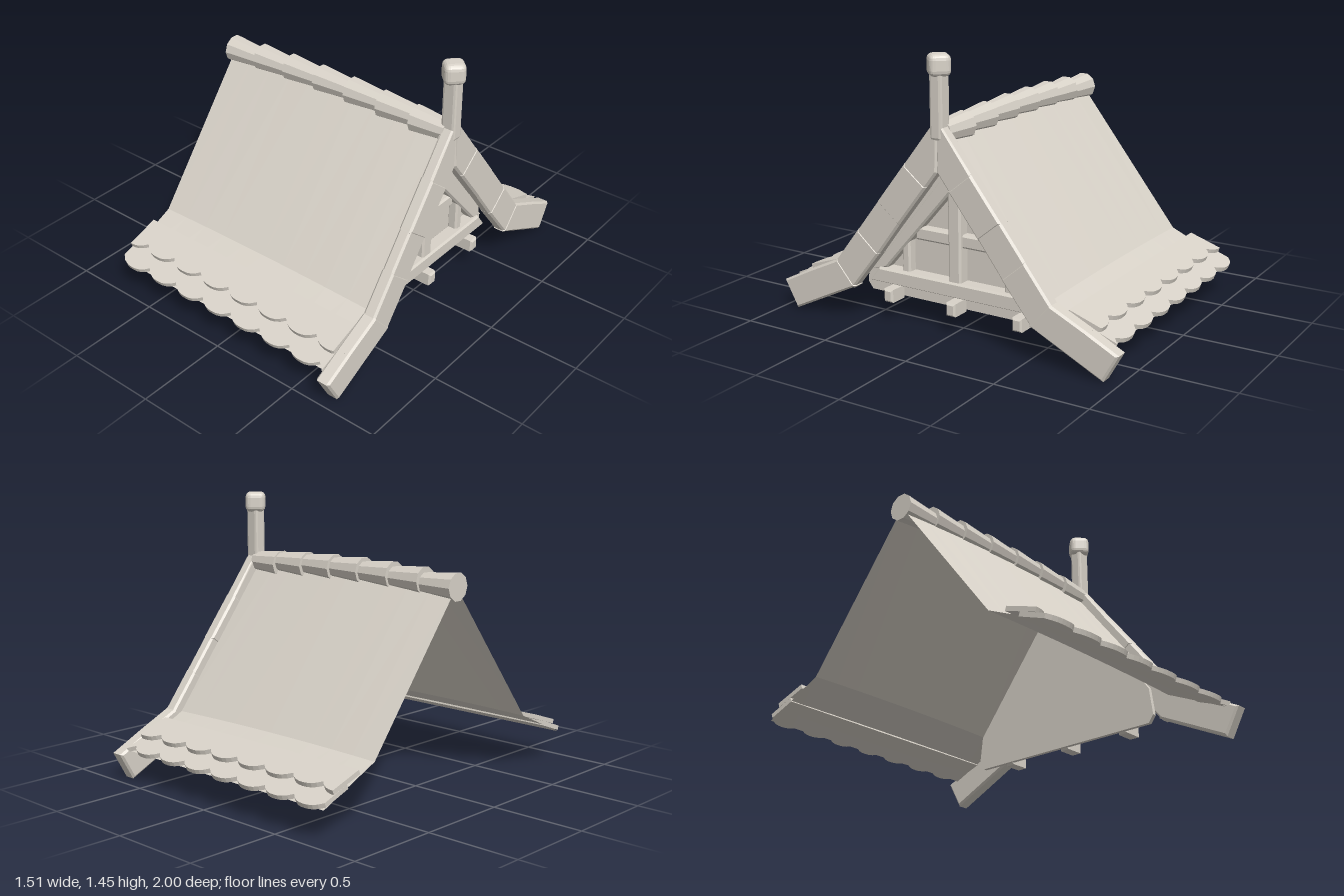
import * as THREE from 'three';
import { RoundedBoxGeometry } from 'three/addons/geometries/RoundedBoxGeometry.js';

const paleStone = new THREE.MeshStandardMaterial({ color: 0xd8d2c8, flatShading: true, side: THREE.DoubleSide });
paleStone.name = 'paleStone';

// Mirrored copy of a geometry across z = 0, keeping faces outward
function mirrorZ(geo) {
  const g = (geo.index ? geo.toNonIndexed() : geo.clone()).scale(1, 1, -1);
  const p = g.attributes.position;
  const a = new THREE.Vector3(), b = new THREE.Vector3();
  for (let i = 0; i < p.count; i += 3) {
    a.fromBufferAttribute(p, i + 1);
    b.fromBufferAttribute(p, i + 2);
    p.setXYZ(i + 1, b.x, b.y, b.z);
    p.setXYZ(i + 2, a.x, a.y, a.z);
  }
  g.computeVertexNormals();
  return g;
}

// Chamfered plate: outline in (z, y), running from x0 to x1
function plate(points, x0, x1, bevel = 0.01) {
  const shape = new THREE.Shape(points.map(([z, y]) => new THREE.Vector2(-z, y)));
  const g = new THREE.ExtrudeGeometry(shape, {
    depth: x1 - x0 - 2 * bevel, bevelEnabled: bevel > 0, bevelSize: bevel,
    bevelThickness: bevel, bevelOffset: -bevel, bevelSegments: 1,
  });
  return g.rotateY(Math.PI / 2).translate(x0 + bevel, 0, 0);
}

const rect = (z, w, y0, y1) => [[z - w / 2, y0], [z + w / 2, y0], [z + w / 2, y1], [z - w / 2, y1]];

// Row of scalloped tiles; top face runs from [z, y] start to [z, y] end
function tileRow(start, end, phase) {
  const dir = new THREE.Vector3(0, end[1] - start[1], end[0] - start[0]);
  const length = dir.length();
  dir.normalize();
  const step = 0.195 / 8, x0 = -0.7475, x1 = 0.655;
  const shape = new THREE.Shape();
  shape.moveTo(x0, 0);
  for (let i = 0; i <= 58; i++) {
    const t = ((i + phase) % 8) / 8;
    shape.lineTo(Math.min(x0 + i * step, x1), length - 0.042 * Math.pow(Math.abs(2 * t - 1), 2.5));
  }
  shape.lineTo(x1, 0);
  const g = new THREE.ExtrudeGeometry(shape, { depth: 0.024, bevelEnabled: false });
  const xAxis = new THREE.Vector3(1, 0, 0);
  const m = new THREE.Matrix4().makeBasis(xAxis, dir, xAxis.clone().cross(dir));
  return g.applyMatrix4(m.setPosition(0, start[1], start[0]));
}

// Thin roof sheet with flared eaves and a slightly raised middle
function roofSheet() {
  const half = [[0.93, 0.162, 0], [0.59, 0.315, 0.01], [0, 1.07, 0.025]];
  const profile = [...half, ...half.slice(0, 2).reverse().map(([z, y, r]) => [-z, y, r])];
  const g = new THREE.PlaneGeometry(1, 1, 10, profile.length - 1);
  const p = g.attributes.position;
  for (let i = 0; i < p.count; i++) {
    const u = (i % 11) / 10;
    const [z, y, rise] = profile[profile.length - 1 - Math.floor(i / 11)];
    p.setXYZ(i, -0.745 + 1.4 * u, y + rise * (1 - (2 * u - 1) ** 2), z);
  }
  g.computeVertexNormals();
  return g;
}

export function createModel() {
  const model = new THREE.Group();
  model.name = 'gabledRoof';
  const add = (name, geo) => {
    const mesh = new THREE.Mesh(geo, paleStone);
    mesh.name = name;
    model.add(mesh);
    return mesh;
  };
  const addPair = (name, geo) => {
    add(name + 'Front', geo);
    add(name + 'Back', mirrorZ(geo));
  };

  add('roofSheet', roofSheet());

  // Eave tiles, two overlapping rows on each side
  addPair('upperTileRow', tileRow([0.7, 0.302], [0.875, 0.243], 4));
  addPair('lowerTileRow', tileRow([0.78, 0.25], [0.965, 0.182], 0));

  // Tapered ridge caps, wide end towards -x
  for (let i = 0; i < 7; i++) {
    const x0 = -0.755 + i * 0.205, x1 = Math.min(x0 + 0.21, 0.67);
    const xm = (x0 + x1) / 2;
    const cap = add('ridgeCap', new THREE.CylinderGeometry(0.073, 0.055, x1 - x0, 10).rotateZ(Math.PI / 2));
    cap.position.set(xm, 1.07 + 0.022 * (1 - (xm / 0.65) ** 2), 0);
  }

  // Bargeboards: blocks between an outer and an inner edge
  const outer = [[0, 1.15], [0.2, 0.894], [0.36, 0.69], [0.5, 0.51], [0.64, 0.33], [0.83, 0.24], [1, 0.155]];
  const inner = [[0, 0.88], [0.07, 0.79], [0.23, 0.585], [0.37, 0.4], [0.53, 0.2], [0.745, 0.095], [0.92, 0.01]];
  const bevel = 0.011;
  // Lengthen a block slightly so its chamfered end sinks into its neighbour
  const extend = (from, to) => {
    const d = Math.hypot(to[0] - from[0], to[1] - from[1]);
    return to.map((v, k) => v + ((v - from[k]) / d) * bevel);
  };
  for (let i = 0; i < 6; i++) {
    const o1 = i < 5 ? extend(outer[i], outer[i + 1]) : outer[6];
    const n1 = i < 5 ? extend(inner[i], inner[i + 1]) : inner[6];
    const o0 = i > 0 ? extend(outer[i + 1], outer[i]) : outer[0];
    const n0 = i > 0 ? extend(inner[i + 1], inner[i]) : inner[0];
    const grow = i > 3 ? 0.006 : (i % 2) * 0.003;
    addPair('bargeboardBlock', plate([o0, o1, n1, n0], 0.656 - grow, 0.722 + grow, bevel));
  }

  // Finial post and knob at the gable peak
  add('finialPost', new RoundedBoxGeometry(0.08, 0.34, 0.07, 1, 0.014)).position.set(0.686, 1.21, 0);
  const knob = add('finialKnob', new RoundedBoxGeometry(0.11, 0.11, 0.11, 2, 0.03));
  knob.position.set(0.686, 1.405, 0);
  knob.rotation.y = Math.PI / 4;

  // Gable wall and its timber frame
  add('gableWall', plate([[-0.57, 0.12], [0.57, 0.12], [0.6, 0.16], [0.58, 0.31], [0, 1.05], [-0.58, 0.31], [-0.6, 0.16]], 0.49, 0.512, 0));
  add('tieBeam', plate([[-0.53, 0.2], [0.53, 0.2], [0.47, 0.28], [-0.47, 0.28]], 0.505, 0.59));
  add('kingPost', plate(rect(0, 0.075, 0.27, 0.84), 0.505, 0.58));
  add('collarBeam', plate(rect(0, 0.5, 0.46, 0.53), 0.505, 0.56));
  addPair('rafter', plate([[0, 0.77], [0.43, 0.28], [0.52, 0.26], [0, 0.9]], 0.505, 0.575));
  addPair('shortPost', plate(rect(0.31, 0.05, 0.27, 0.46), 0.505, 0.565));

  // Joist ends below the tie beam
  for (const z of [-0.39, 0, 0.39]) {
    add('joistEnd', plate(rect(z, 0.056, 0.11, 0.18), 0.505, 0.622));
  }
  return model;
}
